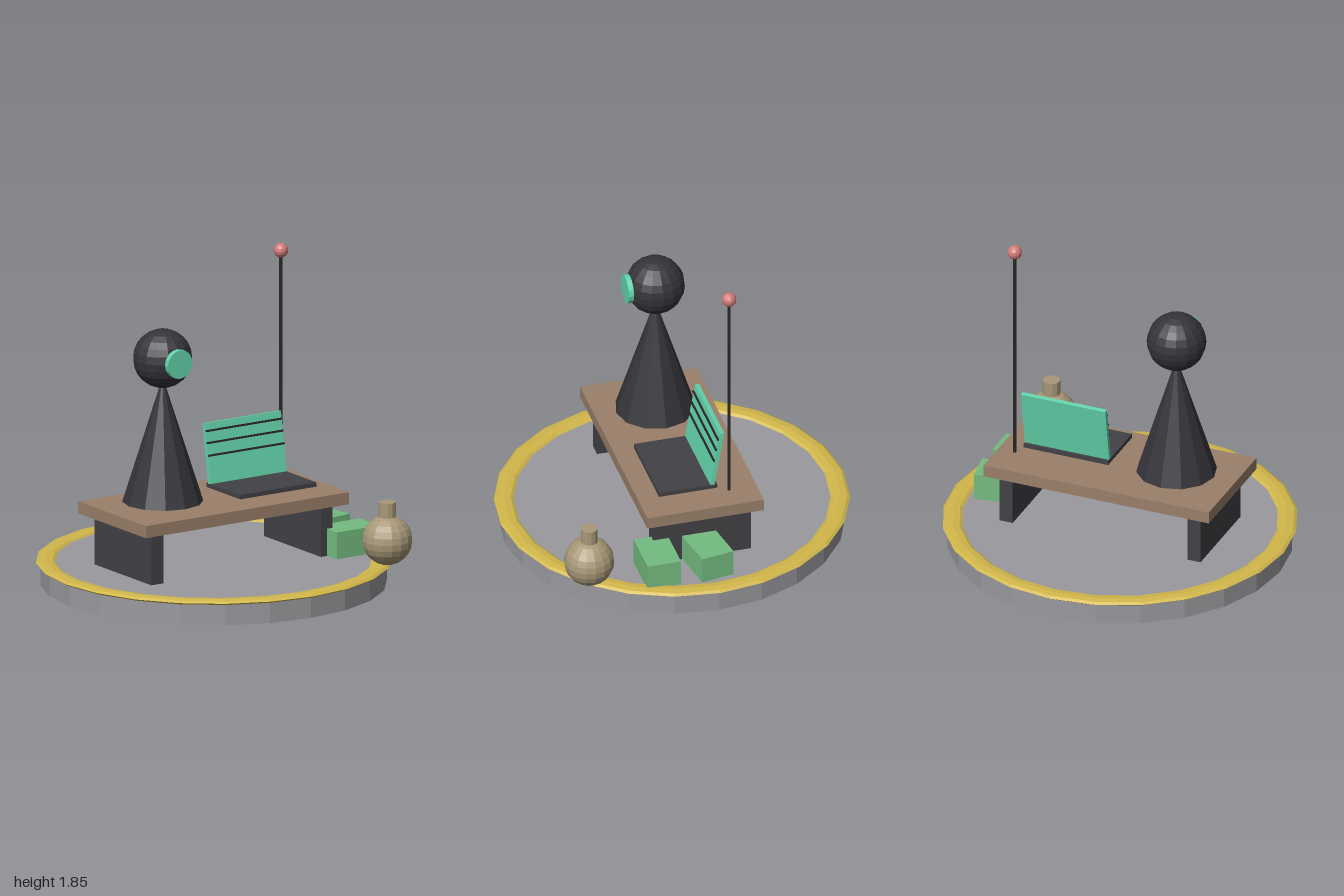
import * as THREE from 'three';

const mat = (name, color) => {
  const m = new THREE.MeshStandardMaterial({ color, flatShading: true });
  m.name = name;
  return m;
};

export function createModel() {
  const grey = mat('stone grey', 0x9a999e);
  const gold = mat('gold', 0xd2b74b);
  const wood = mat('wood brown', 0x9a806a);
  const charcoal = mat('charcoal', 0x424146);
  const dark = mat('dark body', 0x35343a);
  const teal = mat('teal', 0x64d6ae);
  const black = mat('near black', 0x2a2627);
  const green = mat('crate green', 0x74bc80);
  const tan = mat('tan', 0xa89878);
  const pink = mat('pink', 0xd27a7a);

  const model = new THREE.Group();
  const add = (name, geometry, material, x, y, z, parent = model) => {
    const mesh = new THREE.Mesh(geometry, material);
    mesh.name = name;
    mesh.position.set(x, y, z);
    parent.add(mesh);
    return mesh;
  };
  const box = (w, h, d) => new THREE.BoxGeometry(w, h, d);

  // Round base with a flattened gold rim
  add('base', new THREE.CylinderGeometry(0.975, 0.975, 0.13, 24), grey, 0, 0.065, 0);
  const rim = new THREE.TorusGeometry(0.945, 0.055, 8, 24).rotateX(Math.PI / 2).scale(1, 0.27, 1);
  add('rim', rim, gold, 0, 0.13, 0);

  // Desk
  add('deskTop', box(1.375, 0.07, 0.68), wood, 0, 0.46, 0);
  for (const side of [-1, 1]) {
    add(side > 0 ? 'leftDeskLeg' : 'rightDeskLeg', box(0.08, 0.295, 0.57), charcoal, side * 0.573, 0.2775, 0);
  }

  // Figure: cone body, ball head and round face plate
  const figure = new THREE.Group();
  figure.name = 'figure';
  figure.position.set(-0.345, 0, 0);
  model.add(figure);
  add('body', new THREE.ConeGeometry(0.228, 0.72, 12), dark, 0, 0.88, 0, figure);
  add('head', new THREE.SphereGeometry(0.168, 16, 12), dark, 0, 1.347, 0, figure);
  const face = new THREE.CylinderGeometry(0.083, 0.083, 0.03, 16).rotateX(Math.PI / 2);
  add('face', face, teal, 0, 1.347, 0.161, figure);

  // Laptop with a tilted screen and three dark lines across it
  add('laptopBase', box(0.515, 0.025, 0.34), charcoal, 0.283, 0.537, 0.06);
  const screen = new THREE.Group();
  screen.name = 'laptopScreen';
  screen.position.set(0.283, 0.717, -0.11);
  screen.rotation.x = -0.167;
  model.add(screen);
  add('screenPanel', box(0.515, 0.345, 0.025), teal, 0, 0, 0, screen);
  for (const y of [0.128, 0.06, -0.012]) {
    add('screenLine', box(0.515, 0.011, 0.008), black, 0, y, 0.0165, screen);
  }

  // Antenna
  add('antennaPole', new THREE.CylinderGeometry(0.01, 0.01, 1.26, 8), black, 0.57, 1.15, -0.17);
  add('antennaTip', new THREE.SphereGeometry(0.042, 12, 8), pink, 0.57, 1.805, -0.17);

  // Two crates beside the desk, one slightly turned
  const crate = box(0.285, 0.155, 0.195);
  add('backCrate', crate, green, 0.716, 0.21, 0).rotation.y = 0.165;
  add('frontCrate', crate, green, 0.716, 0.21, 0.29);

  // Round flask with a short neck
  add('flask', new THREE.SphereGeometry(0.142, 16, 12), tan, 0.712, 0.289, 0.687);
  add('flaskNeck', new THREE.CylinderGeometry(0.05, 0.05, 0.085, 12), tan, 0.712, 0.467, 0.687);

  return model;
}
